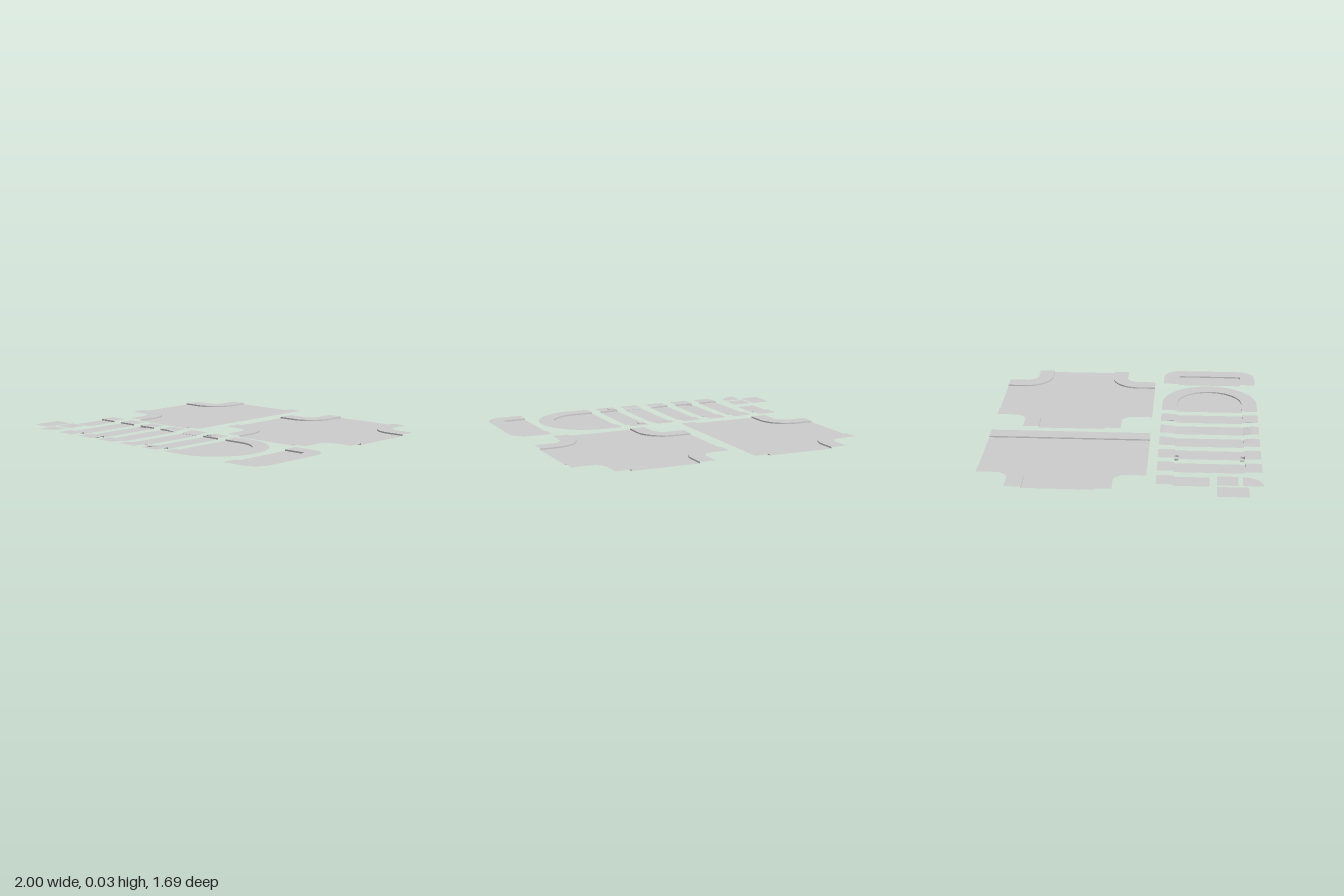
import * as THREE from 'three';

const ROAD = 0.013, TOP = 0.022;
const MID = 0.525, HALF = 0.311, CURB = 0.212; // street centre, outer and curb half-widths
const material = new THREE.MeshStandardMaterial({ color: 0xcccccc, side: THREE.DoubleSide });

function add(group, name, geometry) {
  const mesh = new THREE.Mesh(geometry, material);
  mesh.name = name;
  group.add(mesh);
}

// Flat sheet from a loop of [x, z] points, with optional holes
function sheet(group, name, points, y, holes = []) {
  const loop = (p) => p.map(([x, z]) => new THREE.Vector2(x, -z));
  const shape = new THREE.Shape(loop(points));
  for (const h of holes) shape.holes.push(new THREE.Path(loop(h)));
  const geo = new THREE.ShapeGeometry(shape);
  geo.rotateX(-Math.PI / 2);
  geo.translate(0, y, 0);
  add(group, name, geo);
}

// Upright band along [x, z] points; its top may vary with x
function wall(group, name, points, low = ROAD, top = () => TOP) {
  const pos = [], index = [];
  points.forEach(([x, z], i) => {
    pos.push(x, low, z, x, top(x), z);
    const a = i * 2;
    if (i) index.push(a - 2, a, a - 1, a, a + 1, a - 1);
  });
  const geo = new THREE.BufferGeometry();
  geo.setAttribute('position', new THREE.Float32BufferAttribute(pos, 3));
  geo.setIndex(index);
  geo.computeVertexNormals();
  add(group, name, geo);
}

const rect = (x0, x1, z0, z1) => [[x0, z0], [x1, z0], [x1, z1], [x0, z1]];

function arc(cx, cz, r, from, to, n = 12) {
  return Array.from({ length: n + 1 }, (_, i) => {
    const a = from + (to - from) * i / n;
    return [cx + r * Math.cos(a), cz + r * Math.sin(a)];
  });
}

function part(root, name) {
  const g = new THREE.Group();
  g.name = name;
  root.add(g);
  return g;
}

// Junction tiles
const Z0 = -0.85, Z1 = 0.155, CZ0 = -0.737, CZ1 = 0.039, INNER = 0.077, OUTER = 0.177;

// Edge of a rounded corner, from the tile's side edge round to its end edge
function cornerPath(xEdge, cx, sx, north, r) {
  const cz = north ? CZ0 : CZ1, sz = north ? 1 : -1;
  const bend = arc(0, 0, r, Math.PI / 2, 0).map(([x, z]) => [cx + sx * x, cz + sz * z]);
  return [[xEdge, cz + sz * r], ...bend, [cx + sx * r, north ? Z0 : Z1]];
}

function corner(group, xEdge, cx, sx, north) {
  const curb = cornerPath(xEdge, cx, sx, north, OUTER);
  const edge = cornerPath(xEdge, cx, sx, north, INNER);
  sheet(group, 'cornerPavement', [...curb, ...edge.reverse()], TOP);
  wall(group, 'cornerCurb', curb);
  return curb;
}

function junctions(root) {
  // Three-way junction with a straight pavement on one side
  const tee = part(root, 'threeWayJunction');
  const a = corner(tee, -0.93, -0.817, 1, true);
  const b = corner(tee, -0.93, -0.817, 1, false);
  sheet(tee, 'road', [...a, [-0.214, Z0], [-0.214, Z1], ...b.reverse()], ROAD);
  sheet(tee, 'sidePavement', rect(-0.214, -0.115, Z0, Z1), TOP);
  wall(tee, 'sideCurb', [[-0.214, Z0], [-0.214, Z1]]);

  // Four-way junction
  const cross = part(root, 'fourWayJunction');
  const nw = corner(cross, -0.043, 0.067, 1, true);
  const ne = corner(cross, 0.957, 0.847, -1, true);
  const se = corner(cross, 0.957, 0.847, -1, false);
  const sw = corner(cross, -0.043, 0.067, 1, false);
  sheet(cross, 'road', [...nw, ...ne.reverse(), ...se, ...sw.reverse()], ROAD);
}

// Pavement of a street strip, sloped down to the curb by drop(x)
function stripPavement(group, x0, x1, side, drop) {
  const width = HALF - CURB, ramp = 0.055;
  const geo = new THREE.PlaneGeometry(x1 - x0, width, 8, 9);
  geo.rotateX(-Math.PI / 2);
  geo.translate((x0 + x1) / 2, 0, MID + side * (HALF + CURB) / 2);
  const p = geo.attributes.position;
  for (let i = 0; i < p.count; i++) {
    const fromCurb = Math.abs(p.getZ(i) - MID) - CURB;
    p.setY(i, TOP - drop(p.getX(i)) * Math.max(0, 1 - fromCurb / ramp));
  }
  geo.computeVertexNormals();
  add(group, 'pavement', geo);
  const z = MID + side * CURB;
  const line = Array.from({ length: 9 }, (_, i) => [x0 + (x1 - x0) * i / 8, z]);
  wall(group, 'curb', line, ROAD, (x) => TOP - drop(x));
}

function strip(root, name, x0, { drop = () => 0, drains = false, covers = false } = {}) {
  const g = part(root, name), x1 = x0 + 0.125, holes = [];
  for (const s of [-1, 1]) {
    stripPavement(g, x0, x1, s, drop);
    if (drains) {
      const za = MID + s * 0.188, zb = MID + s * 0.21;
      const pit = rect(x0 + 0.004, x0 + 0.055, za, zb);
      holes.push(pit);
      wall(g, 'drainWalls', [...pit, pit[0]], 0, () => ROAD);
      sheet(g, 'drainFloor', pit, 0);
    }
    if (covers) {
      const geo = new THREE.BoxGeometry(0.044, 0.004, 0.044);
      geo.translate(x0 + 0.03, TOP + 0.002, MID + s * 0.25);
      add(g, 'raisedCover', geo);
    }
  }
  sheet(g, 'road', rect(x0, x1, MID - CURB, MID + CURB), ROAD, holes);
}

export function createModel() {
  const root = new THREE.Group();
  root.name = 'streetKit';
  junctions(root);

  // Straight street strips
  const low = 0.007;
  strip(root, 'plainStrip', -0.665);
  strip(root, 'drainStrip', -0.478, { drains: true });
  strip(root, 'rampStrip', -0.291, { drop: (x) => low * THREE.MathUtils.clamp((x + 0.225) / 0.059, 0, 1) });
  strip(root, 'loweredStrip', -0.1, { drop: () => low });
  strip(root, 'coverStrip', 0.085, { covers: true });

  // Half-width strip
  const half = part(root, 'halfStrip');
  stripPavement(half, -0.852, -0.73, -1, () => 0);
  sheet(half, 'road', rect(-0.852, -0.73, MID - CURB, 0.524), ROAD);

  // Round dead end
  const round = part(root, 'roundDeadEnd');
  const bow = (r) => [[0.272, MID - r], ...arc(0.4, MID, r, -Math.PI / 2, Math.PI / 2, 32), [0.272, MID + r]];
  sheet(round, 'road', bow(CURB), ROAD);
  sheet(round, 'pavement', [...bow(CURB), ...bow(HALF).reverse()], TOP);
  wall(round, 'curb', bow(CURB));

  // Square dead end with rounded corners
  const square = part(root, 'squareDeadEnd');
  const cap = (x, h, r) => [[0.75, MID - h],
    ...arc(x - r, MID - h + r, r, -Math.PI / 2, 0, 8),
    ...arc(x - r, MID + h - r, r, 0, Math.PI / 2, 8), [0.75, MID + h]];
  sheet(square, 'road', cap(0.9, CURB, 0.015), ROAD);
  sheet(square, 'pavement', [...cap(0.9, CURB, 0.015), ...cap(1, HALF, 0.115).reverse()], TOP);
  wall(square, 'curb', cap(0.9, CURB, 0.015));

  // Loose pavement pieces
  const loose = part(root, 'loosePavement');
  sheet(loose, 'longSlab', rect(-1, -0.873, 0.567, 0.75), TOP);
  sheet(loose, 'squareSlab', rect(-0.852, -0.73, 0.567, 0.69), TOP);
  sheet(loose, 'quarterRoundSlab', [[-0.852, 0.718], ...arc(-0.852, 0.718, 0.12, 0, Math.PI / 2)], TOP);
  return root;
}
